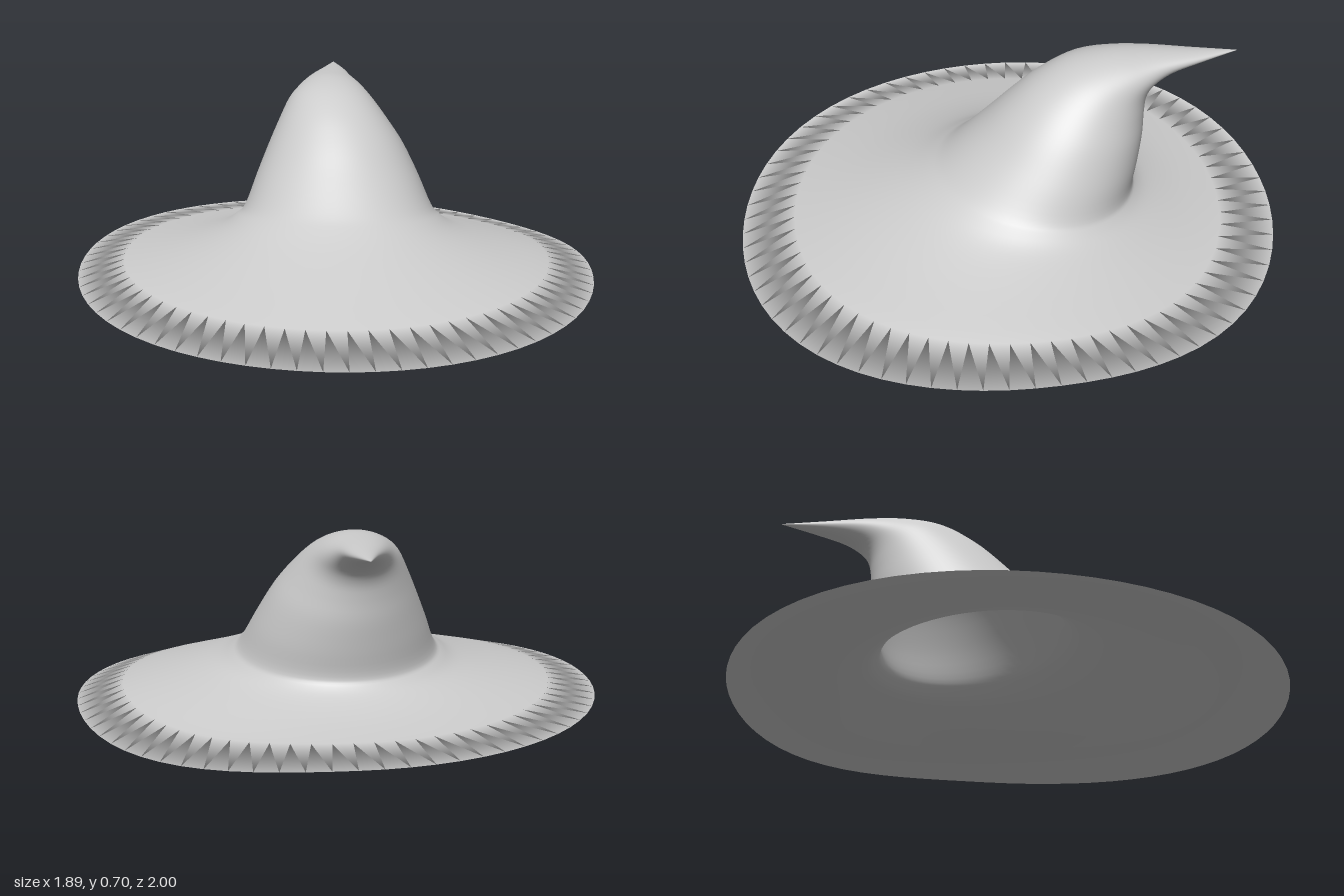
import * as THREE from 'three';

// Cross-sections from tip to rim: [front z, front y, back z, back y, left x, left y, right x, right y]
const SECTIONS = [
  [-0.84, 0.68, -0.842, 0.678, -0.049, 0.679, -0.051, 0.679],
  [-0.66, 0.692, -0.71, 0.65, 0, 0.672, -0.09, 0.672],
  [-0.5, 0.7, -0.61, 0.62, 0.035, 0.662, -0.13, 0.662],
  [-0.36, 0.7, -0.545, 0.585, 0.08, 0.642, -0.165, 0.642],
  [-0.22, 0.67, -0.515, 0.54, 0.125, 0.61, -0.2, 0.61],
  [-0.1, 0.605, -0.505, 0.48, 0.18, 0.55, -0.235, 0.54],
  [0, 0.52, -0.5, 0.4, 0.24, 0.47, -0.27, 0.46],
  [0.1, 0.42, -0.485, 0.3, 0.3, 0.36, -0.31, 0.36],
  [0.22, 0.31, -0.47, 0.21, 0.35, 0.258, -0.35, 0.255],
  [0.29, 0.262, -0.485, 0.175, 0.385, 0.222, -0.385, 0.222],
  [0.4, 0.21, -0.54, 0.14, 0.45, 0.185, -0.45, 0.185],
  [0.58, 0.145, -0.65, 0.105, 0.58, 0.145, -0.58, 0.147],
  [0.8, 0.072, -0.8, 0.077, 0.78, 0.095, -0.78, 0.108],
  [1, 0.005, -1, 0.05, 0.945, 0.045, -0.945, 0.075],
];
const SIDES = 72;
const STEPS = 4;

// Smooth interpolation of the section numbers
function sectionAt(i, t) {
  const last = SECTIONS.length - 1;
  const at = (k) => SECTIONS[Math.min(last, Math.max(0, k))];
  const [a, b, c, d] = [at(i - 1), at(i), at(i + 1), at(i + 2)];
  return b.map((v, k) => v + 0.5 * t * (c[k] - a[k]
    + t * (2 * a[k] - 5 * v + 4 * c[k] - d[k] + t * (3 * (v - c[k]) + d[k] - a[k]))));
}

// Closed ring of points through the four extremes of a section
function ringPoints([fz, fy, bz, by, lx, ly, rx, ry], scale) {
  const points = [];
  const width = (lx - rx) / 2;
  const brim = THREE.MathUtils.smoothstep(width, 0.5, 0.945);
  const mid = (fy + by + ly + ry) / 4;
  for (let j = 0; j < SIDES; j++) {
    const angle = (j / SIDES) * Math.PI * 2;
    const c = Math.cos(angle), s = Math.sin(angle);
    const diagonal = Math.sin(2 * angle) ** 2;
    const bulge = scale * (1 + 0.025 * brim * diagonal);
    let y = c * c * (ly + ry) / 2 + s * s * (fy + by) / 2 + s * (fy - by) / 2 + c * (ly - ry) / 2;
    if (c > 0 && s < 0) y -= 0.025 * brim * diagonal; // wavy dip of the brim
    if (width < 0.4) y = mid + (y - mid) * scale;
    if (scale < 1) y -= 0.01 * width;
    points.push((lx + rx) / 2 + width * c * bulge, y, (fz + bz) / 2 + (fz - bz) / 2 * s * bulge);
  }
  return points;
}

export function createModel() {
  const group = new THREE.Group();
  group.name = 'pointedHat';

  // Outer shell from tip to rim, then lining from rim back up into the tip
  const sections = [];
  for (let i = 0; i < SECTIONS.length - 2; i++) {
    for (let k = 0; k < STEPS; k++) sections.push(sectionAt(i, k / STEPS));
  }
  sections.push(SECTIONS[SECTIONS.length - 2]);
  const rings = [
    ...sections.map((s) => ringPoints(s, 1)),
    ringPoints(SECTIONS[SECTIONS.length - 1], 1),
    ...sections.slice().reverse().map((s) => ringPoints(s, 0.97)),
  ];

  const index = [];
  for (let i = 0; i < rings.length - 1; i++) {
    for (let j = 0; j < SIDES; j++) {
      const next = (j + 1) % SIDES;
      const a = i * SIDES + j, c = i * SIDES + next;
      const b = a + SIDES, d = c + SIDES;
      index.push(a, c, b, c, d, b);
    }
  }
  const geometry = new THREE.BufferGeometry();
  geometry.setAttribute('position', new THREE.Float32BufferAttribute(rings.flat(), 3));
  geometry.setIndex(index);
  geometry.computeVertexNormals();

  const hat = new THREE.Mesh(geometry, new THREE.MeshStandardMaterial({ color: 0xcccccc }));
  hat.name = 'crownAndBrim';
  group.add(hat);
  return group;
}
